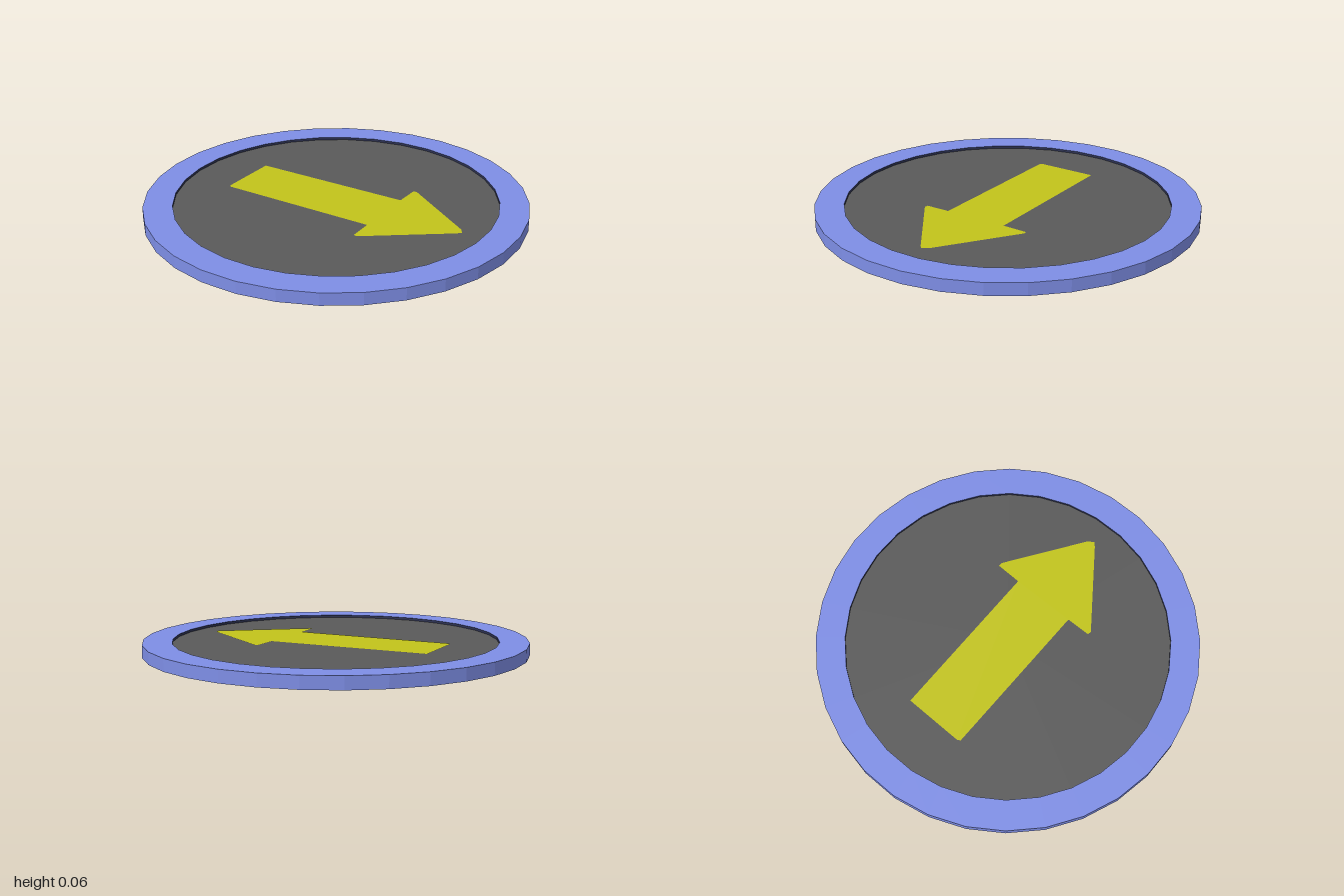
import * as THREE from 'three';

const SEGMENTS = 32;
const TURN = THREE.MathUtils.degToRad(7); // rotation of the polygon corners
const OUTER = 1.003, INNER = 0.85, HEIGHT = 0.065;
const DISC_BOTTOM = 0.01, DISC_TOP = 0.051;

// Faceted ring or disc from a profile of [radius, y] points
function faceted(name, profile, material) {
  const points = profile.map(([r, y]) => new THREE.Vector2(r, y));
  const lathe = new THREE.LatheGeometry(points, SEGMENTS, TURN, Math.PI * 2);
  const geometry = lathe.toNonIndexed();
  geometry.computeVertexNormals();
  const mesh = new THREE.Mesh(geometry, material);
  mesh.name = name;
  return mesh;
}

export function createModel() {
  const blue = new THREE.MeshStandardMaterial({ name: 'rim blue', color: 0x7e8ee6 });
  const navy = new THREE.MeshStandardMaterial({ name: 'inner wall navy', color: 0x2c3150 });
  const darkGrey = new THREE.MeshStandardMaterial({ name: 'plate dark grey', color: 0x5a5a5a });
  const lightGrey = new THREE.MeshStandardMaterial({ name: 'underside light grey', color: 0xc6c6c6 });
  const yellow = new THREE.MeshStandardMaterial({ name: 'arrow yellow', color: 0xc2c41a });

  const group = new THREE.Group();
  group.name = 'arrowPad';

  // Raised rim: outer wall and top ring, then the inner wall
  group.add(faceted('rim', [[OUTER, 0], [OUTER, HEIGHT], [INNER, HEIGHT]], blue));
  group.add(faceted('rimInnerWall', [[INNER, HEIGHT], [INNER, DISC_TOP]], navy));

  // Underside of the rim, with the step up to the plate
  group.add(faceted('rimUnderside',
    [[INNER, DISC_BOTTOM], [INNER, 0], [OUTER, 0]], lightGrey));

  // Recessed centre plate
  group.add(faceted('plateTop', [[INNER, DISC_TOP], [0, DISC_TOP]], darkGrey));
  group.add(faceted('plateUnderside', [[0, DISC_BOTTOM], [INNER, DISC_BOTTOM]], lightGrey));

  // Slightly uneven painted arrow pointing to +x
  const outline = [
    [-0.58, 0.155], [0.285, 0.178], [0.285, 0.315], [0.305, 0.315],
    [0.71, 0.05], [0.73, 0.02], [0.71, 0], [0.32, -0.298], [0.3, -0.295],
    [0.295, -0.165], [-0.565, -0.18], [-0.575, -0.165],
  ].map(([x, y]) => new THREE.Vector2(x, y));
  const arrow = new THREE.Mesh(new THREE.ShapeGeometry(new THREE.Shape(outline)), yellow);
  arrow.name = 'arrow';
  arrow.rotation.x = -Math.PI / 2;
  arrow.position.y = DISC_TOP + 0.002;
  group.add(arrow);

  return group;
}
